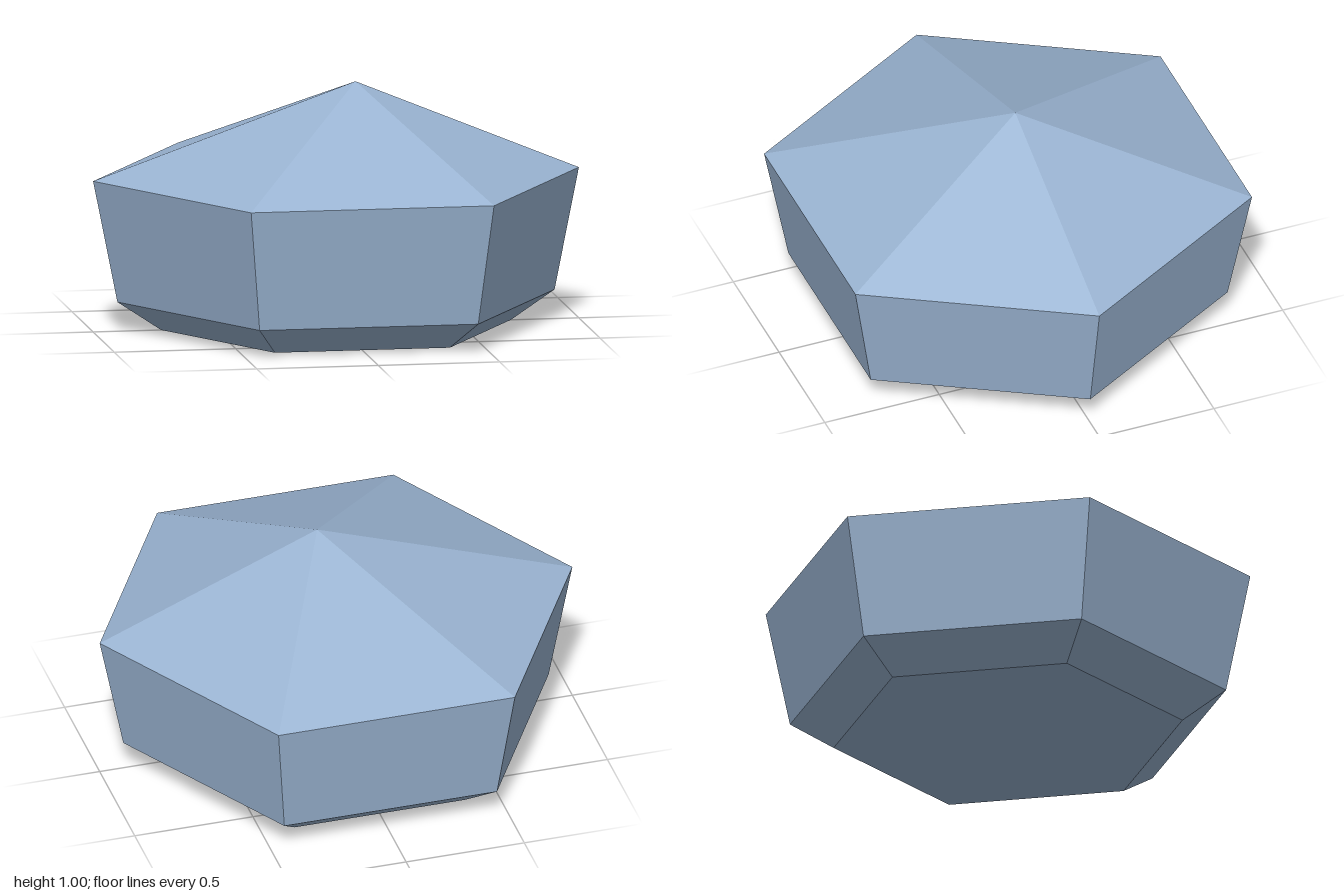
import * as THREE from 'three';

const SIDES = 6;

export function createModel() {
  const model = new THREE.Group();
  model.name = 'facetedStone';

  const stoneBlue = new THREE.MeshStandardMaterial({ color: 0x9ab4d2, flatShading: true });
  stoneBlue.name = 'stone blue';

  // One open six-sided band between two heights, with corners on the x axis
  const band = (name, topRadius, bottomRadius, bottomY, topY) => {
    const geometry = new THREE.CylinderGeometry(
      topRadius, bottomRadius, topY - bottomY, SIDES, 1, true, Math.PI / 2);
    geometry.translate(0, (topY + bottomY) / 2, 0);
    const mesh = new THREE.Mesh(geometry, stoneBlue);
    mesh.name = name;
    model.add(mesh);
    return mesh;
  };

  // Bevelled foot and flared wall
  band('footBevel', 0.9, 0.72, 0, 0.12);
  band('wall', 1, 0.9, 0.12, 0.62);

  // Pointed crown, its peak shifted slightly to the left
  const crown = band('crown', 0, 1, 0.62, 1);
  const position = crown.geometry.attributes.position;
  for (let i = 0; i < position.count; i++) {
    if (position.getY(i) > 0.99) position.setX(i, 0.08);
  }
  crown.geometry.computeVertexNormals();

  // Flat underside
  const underside = new THREE.Mesh(new THREE.CircleGeometry(0.72, SIDES), stoneBlue);
  underside.name = 'underside';
  underside.rotation.x = Math.PI / 2;
  model.add(underside);

  return model;
}
